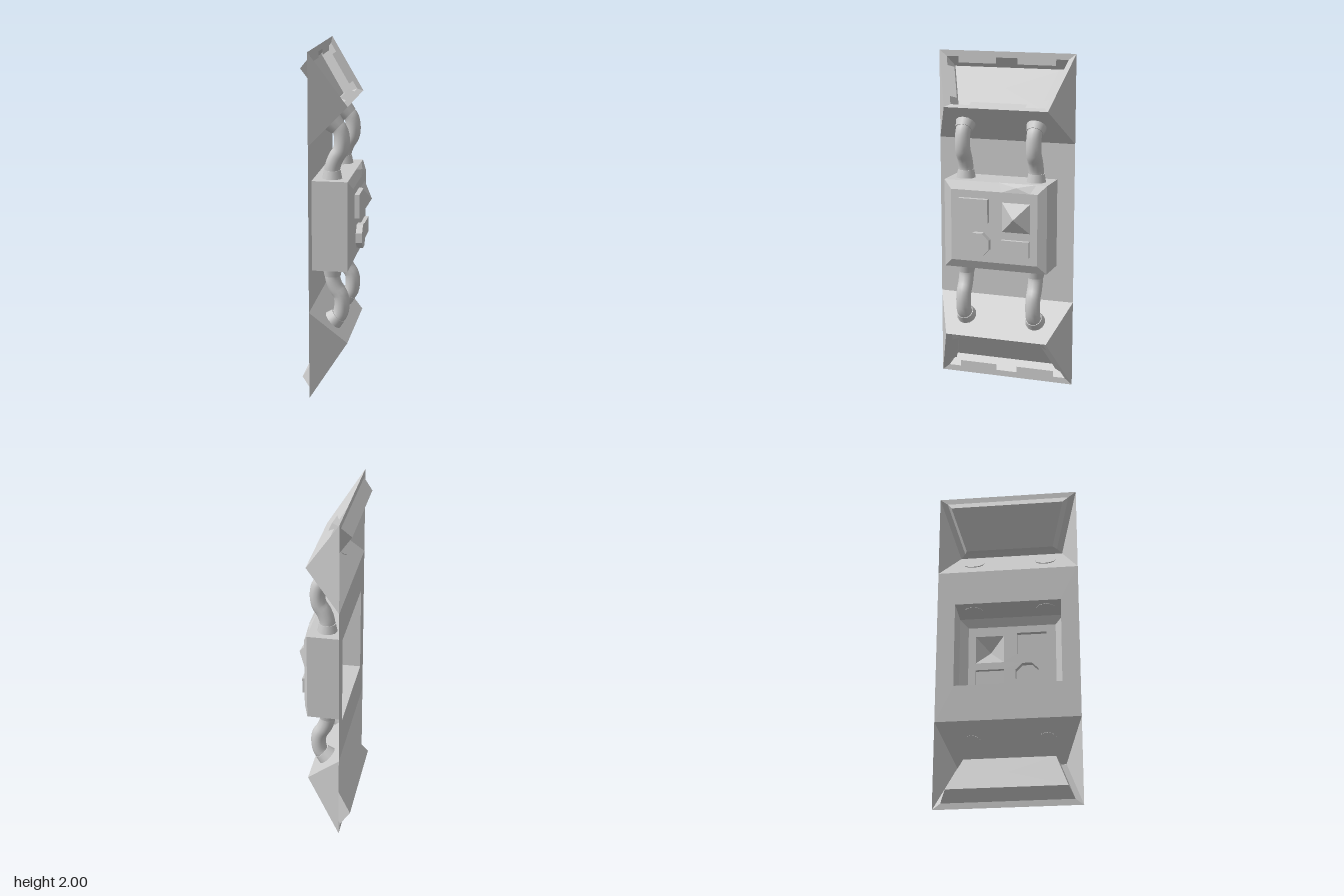
import * as THREE from 'three';

const flat = new THREE.MeshStandardMaterial({ color: 0xcccccc, flatShading: true, side: THREE.DoubleSide });
const smooth = new THREE.MeshStandardMaterial({ color: 0xcccccc, side: THREE.DoubleSide });

const BACK = -0.115, FRONT = 0.115, SHOULDER = 0.09;

function mesh(name, geometry, material = flat) {
  const m = new THREE.Mesh(geometry, material);
  m.name = name;
  return m;
}

// Skins successive closed rings of [x, y, z] points; an optional centre point closes the last ring.
function loft(rings, centre) {
  const pos = [];
  const n = rings[0].length;
  for (let i = 0; i < n; i++) {
    const j = (i + 1) % n;
    for (let r = 0; r + 1 < rings.length; r++) {
      const a = rings[r], b = rings[r + 1];
      pos.push(...a[i], ...a[j], ...b[j], ...a[i], ...b[j], ...b[i]);
    }
    const last = rings[rings.length - 1];
    if (centre) pos.push(...last[i], ...last[j], ...centre);
  }
  const g = new THREE.BufferGeometry();
  g.setAttribute('position', new THREE.Float32BufferAttribute(pos, 3));
  g.computeVertexNormals();
  return g;
}

// Rectangle facing +x, counter-clockwise from the front
const rect = (x, y0, y1, z0, z1) => [[x, y0, z1], [x, y0, z0], [x, y1, z0], [x, y1, z1]];

function octagon(x, y, z, r) {
  return Array.from({ length: 8 }, (_, i) => {
    const a = (i + 0.5) * Math.PI / 4;
    return [x, y + r * Math.sin(a), z - r * Math.cos(a)];
  });
}

// Point on the sloping lamp face: s runs down the slope, d goes inward
const onSlope = (s, d, z) => [BACK + 0.552 * s - 0.834 * d, 2 - 0.834 * s - 0.552 * d, z];
const SLOPE = 0.372;
const halfWidth = (s, inset) => 0.42 - 0.105 * s / SLOPE - inset * 1.25;

function slopeRing(inset, d) {
  const s0 = inset, s1 = SLOPE - inset;
  const w0 = halfWidth(s0, inset), w1 = halfWidth(s1, inset);
  return [onSlope(s1, d, w1), onSlope(s1, d, -w1), onSlope(s0, d, -w0), onSlope(s0, d, w0)];
}

// Wedge housing with a recessed panel, and the two pipes that feed it
function lampEnd() {
  const g = new THREE.Group();

  const outer = slopeRing(0, 0);
  const floor = slopeRing(0.052, 0.1);
  const middle = [0, 1, 2].map(k => floor.reduce((t, p) => t + p[k] / 4, 0));
  g.add(mesh('lampFrame', loft([outer, slopeRing(0.03, 0.02), floor])));
  g.add(mesh('recessedPanel', loft([floor], middle)));

  const [bl, br, tr, tl] = outer;
  const low = z => [BACK, 1.48, z];
  const shell = new THREE.BufferGeometry();
  shell.setAttribute('position', new THREE.Float32BufferAttribute([
    ...low(0.42), ...low(-0.42), ...br, ...low(0.42), ...br, ...bl,
    ...tl, ...low(0.42), ...bl, ...tr, ...br, ...low(-0.42),
  ], 3));
  shell.computeVertexNormals();
  g.add(mesh('wedgeShell', shell));

  // Retaining lips around the recess, stopping short of the corners
  const IN = 0.03, OUT = 0.06, D0 = 0.02, D1 = 0.04;
  const lip = (a, b, c, d) => g.add(mesh('retainingLip', loft([[a, b, c, d]],
    [0, 1, 2].map(k => (a[k] + b[k] + c[k] + d[k]) / 4))));
  lip(onSlope(SLOPE - IN, D0, 0.17), onSlope(SLOPE - IN, D0, -0.17),
    onSlope(SLOPE - OUT, D1, -0.17), onSlope(SLOPE - OUT, D1, 0.17));
  for (const k of [1, -1]) {
    lip(onSlope(IN, D0, 0.065 * k), onSlope(OUT, D1, 0.065 * k),
      onSlope(OUT, D1, 0.3 * k), onSlope(IN, D0, 0.3 * k));
    const side = (s, inset, d) => onSlope(s, d, k * halfWidth(s, inset));
    lip(side(0.09, IN, D0), side(0.29, IN, D0), side(0.29, OUT, D1), side(0.09, OUT, D1));
  }

  // Bent pipes with a collar at each end
  const path = new THREE.CatmullRomCurve3([
    [-0.012, 1.27], [-0.01, 1.33], [0.01, 1.385], [0.037, 1.43], [0.044, 1.49], [0.03, 1.55], [-0.012, 1.588],
  ].map(([x, y]) => new THREE.Vector3(x, y, 0)));
  for (const z of [0.218, -0.218]) {
    const pipe = new THREE.Group();
    pipe.name = 'pipe';
    pipe.position.z = z;
    pipe.add(mesh('pipeBend', new THREE.TubeGeometry(path, 20, 0.045, 12), smooth));
    const base = mesh('boxCollar', new THREE.CylinderGeometry(0.048, 0.058, 0.05, 12), smooth);
    base.position.set(-0.012, 1.288, 0);
    const end = mesh('housingCollar', new THREE.CylinderGeometry(0.05, 0.062, 0.05, 12), smooth);
    end.position.set(0.004, 1.574, 0);
    end.quaternion.setFromUnitVectors(new THREE.Vector3(0, 1, 0), new THREE.Vector3(0.716, -0.698, 0).normalize());
    pipe.add(base, end);
    g.add(pipe);
  }
  return g;
}

export function createModel() {
  const model = new THREE.Group();
  model.name = 'wallLightUnit';

  // Mirrored lamp ends
  const top = lampEnd();
  top.name = 'upperLamp';
  const bottom = lampEnd();
  bottom.name = 'lowerLamp';
  bottom.scale.y = -1;
  bottom.position.y = 2;
  model.add(top, bottom);

  // Back plate with an opening into the hollow control box
  const mouth = rect(BACK, 0.74, 1.265, -0.315, 0.315);
  model.add(mesh('backPlate', loft([rect(BACK, 0.52, 1.48, -0.42, 0.42), mouth])));
  const face = rect(FRONT, 0.79, 1.215, -0.265, 0.265);
  model.add(mesh('controlBox', loft([mouth, rect(SHOULDER, 0.74, 1.265, -0.315, 0.315), face])));

  // Raised controls, hollow behind
  const controls = [
    ['squareButton', x => rect(x, 1.03, 1.17, 0.03, 0.21), 0.143, [1.1, 0.12]],
    ['roundButton', x => octagon(x, 0.9, 0.09, 0.075), 0.152, [0.9, 0.09]],
    ['smallButton', x => rect(x, 0.84, 0.935, -0.22, -0.05), 0.138, [0.888, -0.135]],
  ];
  const flatPoints = ring => ring.map(([, y, z]) => new THREE.Vector2(-z, y));
  const panel = new THREE.Shape(flatPoints(face));
  for (const [name, ring, x, [cy, cz]] of controls) {
    model.add(mesh(name, loft([ring(FRONT), ring(x)], [x, cy, cz])));
    panel.holes.push(new THREE.Path(flatPoints(ring(FRONT))));
  }

  // Pyramid stud
  const stud = rect(FRONT, 0.98, 1.155, -0.22, -0.05);
  model.add(mesh('pyramidStud', loft([stud], [0.17, 1.067, -0.135])));
  panel.holes.push(new THREE.Path(flatPoints(stud)));

  const panelGeometry = new THREE.ShapeGeometry(panel);
  panelGeometry.rotateY(Math.PI / 2).translate(FRONT, 0, 0);
  model.add(mesh('controlFace', panelGeometry));

  // Small tapered tab on the upper edge of the box
  const tab = [[0.09, 1.266, -0.02], [0.117, 1.215, -0.05], [0.117, 1.215, -0.22], [0.09, 1.266, -0.25]];
  model.add(mesh('edgeTab', loft([tab], [0.112, 1.245, -0.135])));

  return model;
}
